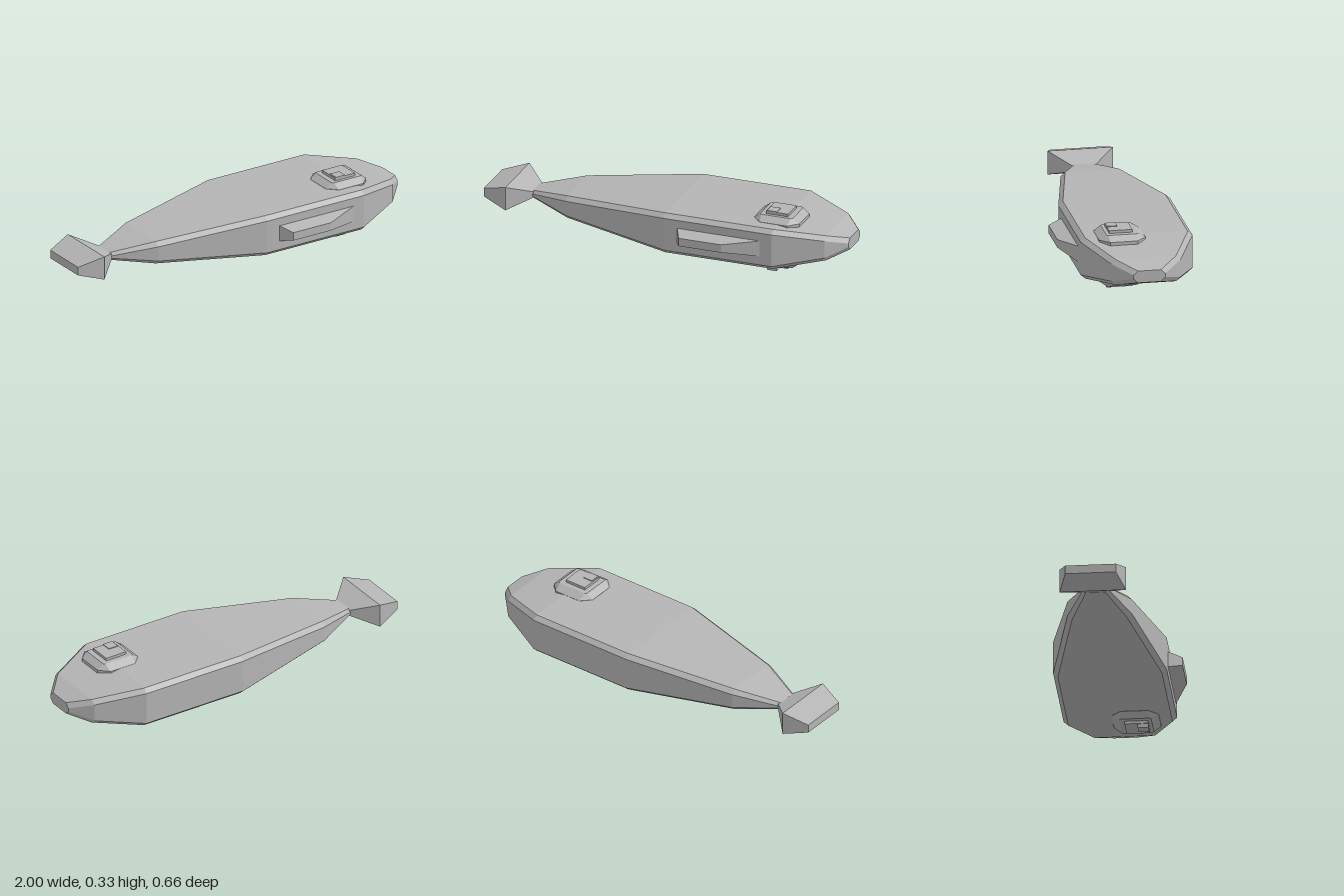
import * as THREE from 'three';

const hullGrey = new THREE.MeshStandardMaterial({ color: 0xb4b4b4, flatShading: true });
hullGrey.name = 'hullGrey';

// Rectangle with cut corners, counter-clockwise; cu/cv = 0 gives a plain rectangle
function ring(u, v, hu, hv, cu = 0, cv = cu) {
  const pts = cu
    ? [[hu, -hv + cv], [hu, hv - cv], [hu - cu, hv], [-hu + cu, hv],
      [-hu, hv - cv], [-hu, -hv + cv], [-hu + cu, -hv], [hu - cu, -hv]]
    : [[hu, -hv], [hu, hv], [-hu, hv], [-hu, -hv]];
  return pts.map(([a, b]) => [u + a, v + b]);
}

// Maps ring coordinates (u, v) and height w to space for each loft axis
const place = {
  x: (u, v, w) => [w, u, v],
  y: (u, v, w) => [v, w, u],
  z: (u, v, w) => [u, v, w],
};

// Closed solid through sections [w, ring], in ascending w
function loft(name, axis, sections) {
  const rings = sections.map(([w, r]) => r.map(([u, v]) => place[axis](u, v, w)));
  const pos = [];
  const tri = (a, b, c) => pos.push(...a, ...b, ...c);
  const n = rings[0].length;
  for (let s = 0; s < rings.length - 1; s++) {
    const a = rings[s], b = rings[s + 1];
    for (let i = 0; i < n; i++) {
      const j = (i + 1) % n;
      tri(a[i], a[j], b[j]);
      tri(a[i], b[j], b[i]);
    }
  }
  const first = rings[0], last = rings[rings.length - 1];
  for (let i = 1; i < n - 1; i++) {
    tri(first[0], first[i + 1], first[i]);
    tri(last[0], last[i], last[i + 1]);
  }
  const geo = new THREE.BufferGeometry();
  geo.setAttribute('position', new THREE.Float32BufferAttribute(pos, 3));
  geo.computeVertexNormals();
  const mesh = new THREE.Mesh(geo, hullGrey);
  mesh.name = name;
  return mesh;
}

function box(name, x0, x1, y0, y1, z0, z1) {
  const mesh = new THREE.Mesh(new THREE.BoxGeometry(x1 - x0, y1 - y0, z1 - z0), hullGrey);
  mesh.position.set((x0 + x1) / 2, (y0 + y1) / 2, (z0 + z1) / 2);
  mesh.name = name;
  return mesh;
}

const MID_Y = 0.176, MID_Z = -0.037;

// Turret on the top (side = 1) or the underside (side = -1)
function turret(side) {
  const group = new THREE.Group();
  group.name = side > 0 ? 'upperTurret' : 'lowerTurret';
  const base = [
    [0.094, ring(0.048, 0.632, 0.122, 0.125, 0.05)],
    [0.112, ring(0.048, 0.632, 0.122, 0.125, 0.05)],
    [0.139, ring(0.049, 0.632, 0.083, 0.09, 0.008)],
  ].map(([h, r]) => [MID_Y + side * h, r]);
  if (side < 0) base.reverse();
  group.add(loft('turretBase', 'y', base));
  const slab = (name, x0, x1, h0, h1, z0, z1) => {
    const ys = [MID_Y + side * h0, MID_Y + side * h1].sort((a, b) => a - b);
    group.add(box(name, x0, x1, ys[0], ys[1], z0, z1));
  };
  slab('turretPlate', 0.57, 0.692, 0.13, 0.154, -0.008, 0.114);
  slab('turretHatch', 0.575, 0.63, 0.15, side > 0 ? 0.158 : 0.176, 0.06, 0.115);
  return group;
}

export function createModel() {
  const model = new THREE.Group();
  model.name = 'airship';

  // Hull: x, half height, half depth
  const hull = [
    [-0.757, 0.02, 0.065], [-0.53, 0.062, 0.166], [0.06, 0.111, 0.294],
    [0.655, 0.111, 0.294], [0.905, 0.069, 0.182], [1, 0.032, 0.084],
  ];
  model.add(loft('hull', 'x', hull.map(([x, hy, hz]) => {
    const c = Math.min(0.022, hy * 0.7);
    return [x, ring(MID_Y, MID_Z, hy, hz, c, c * 1.1)];
  })));

  // Tail block, flaring out then tapering toward the stern
  model.add(loft('tail', 'x', [
    [-1, ring(0.178, -0.041, 0.023, 0.131)],
    [-0.865, ring(0.178, -0.041, 0.064, 0.172)],
    [-0.75, ring(0.177, -0.038, 0.016, 0.062)],
  ]));

  // Tapered housing on the front flank only
  model.add(loft('sidePod', 'z', [
    [0.24, ring(0.362, 0.178, 0.228, 0.043)],
    [0.257, ring(0.362, 0.178, 0.228, 0.043)],
    [0.33, ring(0.287, 0.178, 0.117, 0.022)],
  ]));

  model.add(turret(1), turret(-1));
  return model;
}
